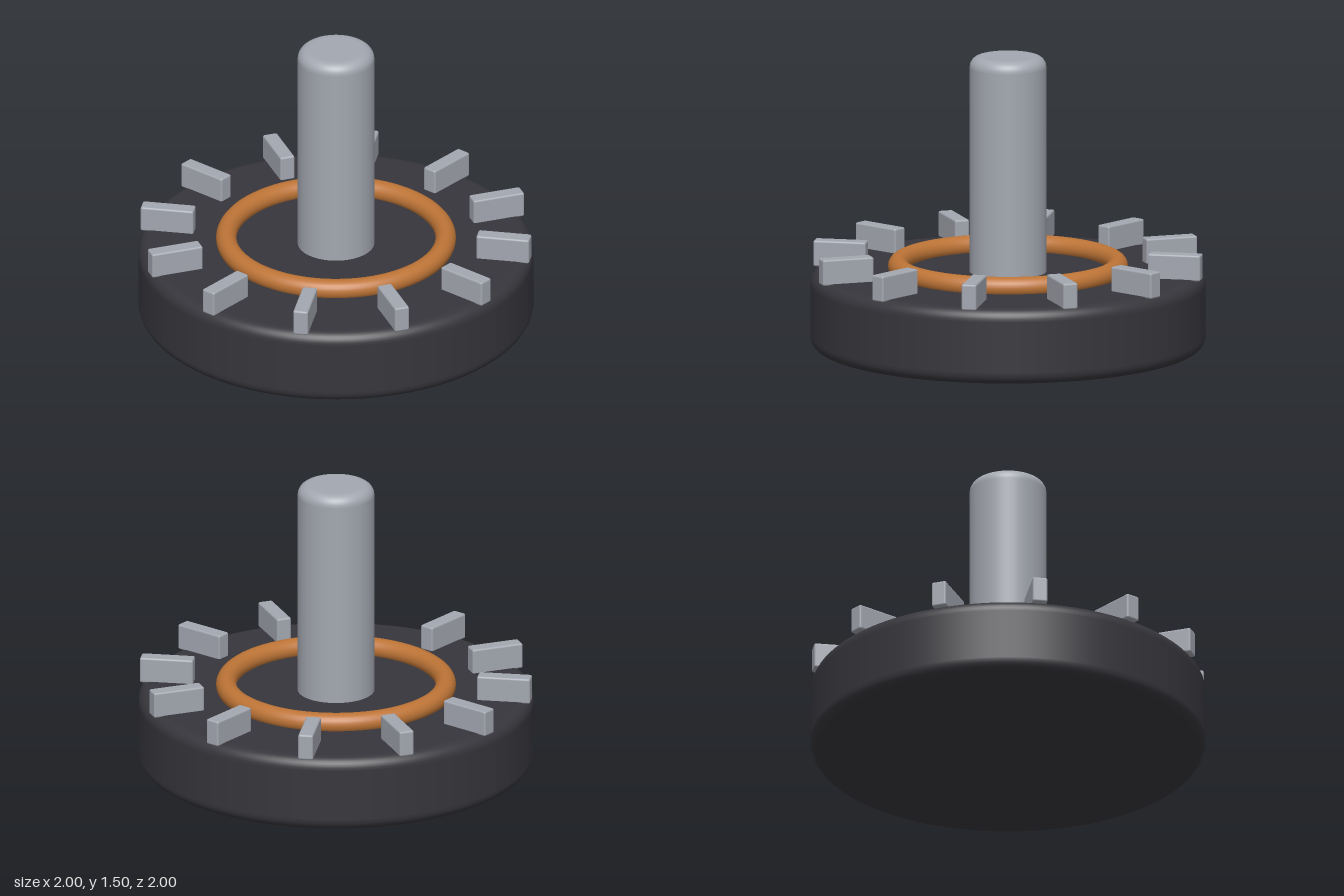
import * as THREE from 'three';
import { RoundedBoxGeometry } from 'three/addons/geometries/RoundedBoxGeometry.js';

const material = (name, color) => {
  const m = new THREE.MeshStandardMaterial({ color });
  m.name = name;
  return m;
};

// Solid disc or rod with filleted rims; extra points beside each fillet keep the flats flat.
function filletedCylinder(radius, y0, y1, bottomFillet, topFillet) {
  const hold = 0.004;
  const points = [new THREE.Vector2(0, y0)];
  const addFillet = (f, cy, from) => {
    for (let i = 0; i <= 8; i++) {
      const a = from + (i / 8) * Math.PI / 2;
      points.push(new THREE.Vector2(radius - f + f * Math.cos(a), cy + f * Math.sin(a)));
    }
  };
  points.push(new THREE.Vector2(radius - bottomFillet - hold, y0));
  addFillet(bottomFillet, y0 + bottomFillet, -Math.PI / 2);
  points.push(new THREE.Vector2(radius, y0 + bottomFillet + hold));
  points.push(new THREE.Vector2(radius, y1 - topFillet - hold));
  addFillet(topFillet, y1 - topFillet, 0);
  points.push(new THREE.Vector2(radius - topFillet - hold, y1));
  points.push(new THREE.Vector2(0, y1));
  return new THREE.LatheGeometry(points, 96);
}

export function createModel() {
  const rubber = material('dark body', 0x37363c);
  const steel = material('steel', 0xa3a7b0);
  const copper = material('copper', 0xbd7436);

  const model = new THREE.Group();
  model.name = 'rotor';
  const add = (name, geometry, mat, parent = model) => {
    const mesh = new THREE.Mesh(geometry, mat);
    mesh.name = name;
    parent.add(mesh);
    return mesh;
  };

  // Thick round base
  add('base', filletedCylinder(1, 0, 0.39, 0.06, 0.06), rubber);

  // Central shaft, sunk slightly into the base
  add('shaft', filletedCylinder(0.194, 0.36, 1.5, 0.01, 0.055), steel);

  // Copper ring lying on the base
  const ring = add('ring', new THREE.TorusGeometry(0.555, 0.052, 24, 96), copper);
  ring.rotation.x = Math.PI / 2;
  ring.position.y = 0.419;

  // Twelve radial fins around the rim
  const fins = new THREE.Group();
  fins.name = 'fins';
  model.add(fins);
  const finGeometry = new RoundedBoxGeometry(0.272, 0.134, 0.077, 2, 0.01);
  for (let i = 0; i < 12; i++) {
    const angle = (i / 12) * Math.PI * 2;
    const fin = add('fin', finGeometry, steel, fins);
    fin.position.set(Math.cos(angle) * 0.863, 0.449, -Math.sin(angle) * 0.863);
    fin.rotation.y = angle;
  }
  return model;
}
